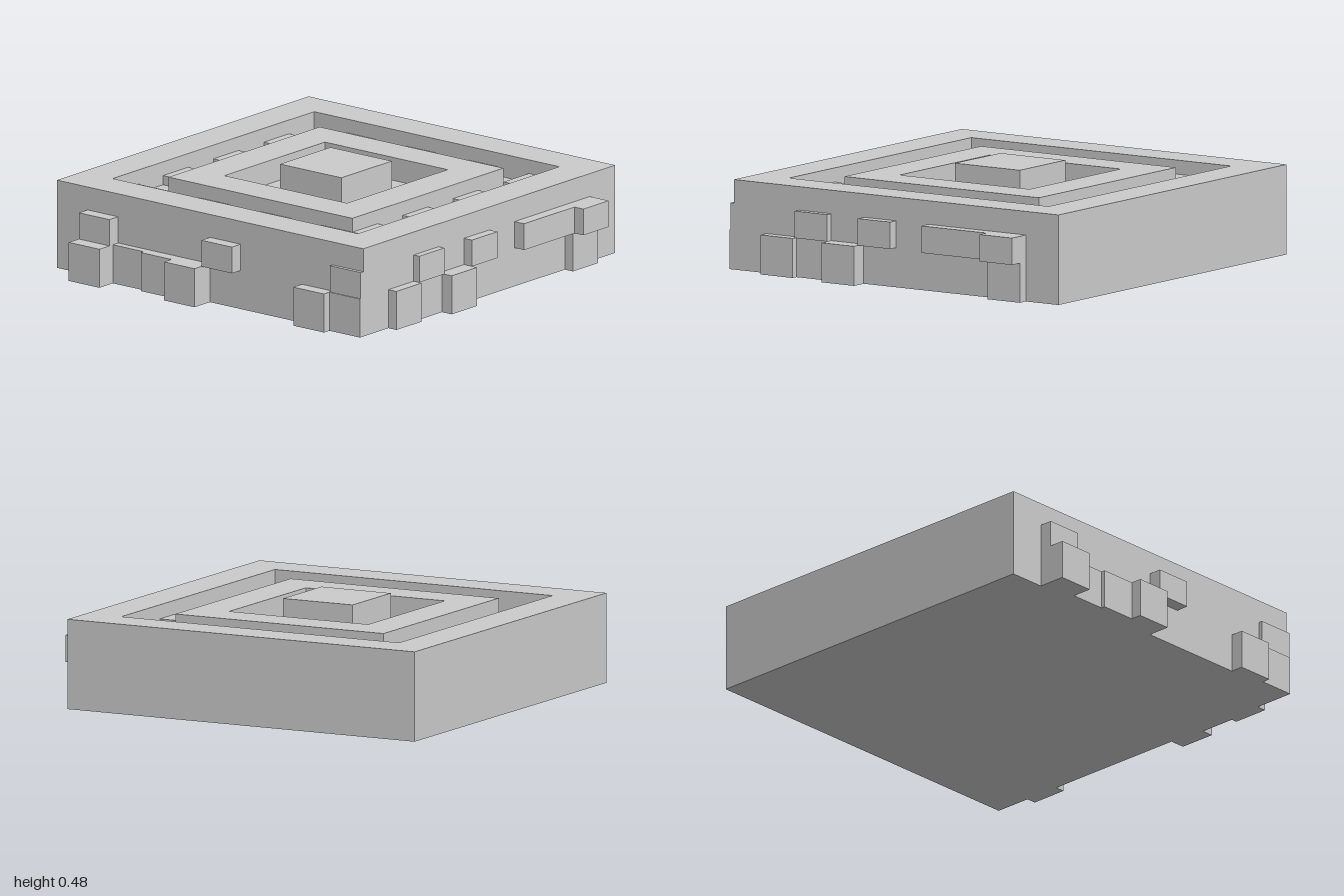
import * as THREE from 'three';

const CELL = 0.1862;                 // plan module
const CX = -0.06, CZ = -0.07;        // centre of the main slab
const FLOOR = 0.316, TOP = 0.428;    // recess floor and rim top
const COURSE = 0.188;                // top of the lower row of side blocks
const material = new THREE.MeshStandardMaterial({ color: 0xcccccc, flatShading: true });

export function createModel() {
  const group = new THREE.Group();

  const add = (name, geometry) => {
    const mesh = new THREE.Mesh(geometry, material);
    mesh.name = name;
    group.add(mesh);
    return mesh;
  };
  // Box given by its minimum and maximum corners
  const box = (name, x0, x1, y0, y1, z0, z1) =>
    add(name, new THREE.BoxGeometry(x1 - x0, y1 - y0, z1 - z0))
      .position.set((x0 + x1) / 2, (y0 + y1) / 2, (z0 + z1) / 2);
  const square = (Type, h) => new Type([[-h, -h], [h, -h], [h, h], [-h, h]].map(p => new THREE.Vector2(...p)));
  // Square frame standing on the recess floor, sizes in cells from the centre
  const frame = (name, outer, inner) => {
    const shape = square(THREE.Shape, outer * CELL);
    shape.holes.push(square(THREE.Path, inner * CELL));
    const geometry = new THREE.ExtrudeGeometry(shape, { depth: TOP - FLOOR, bevelEnabled: false });
    geometry.rotateX(-Math.PI / 2);
    add(name, geometry).position.set(CX, FLOOR, CZ);
  };

  // Slab with two raised frames and a central block
  const half = 5 * CELL;
  box('slab', CX - half, CX + half, 0, FLOOR, CZ - half, CZ + half);
  frame('outerRim', 5, 4);
  frame('innerFrame', 3, 2);
  box('centreBlock', CX - CELL, CX + CELL, FLOOR, 0.477, CZ - CELL, CZ + CELL);

  // Alternate raised cells around the channel
  for (let i = 0; i < 8; i++) {
    for (let j = 0; j < 8; j++) {
      const inRing = i === 0 || i === 7 || j === 0 || j === 7;
      if (!inRing || (i + j) % 2 === 0) continue;
      const x = CX + (i - 4) * CELL, z = CZ + (j - 4) * CELL;
      box('channelBlock', x, x + CELL, FLOOR, FLOOR + 0.045, z, z + CELL);
    }
  }

  // Projecting side blocks: [first cell, cell count, upper row?, outer reach]
  const frontBlocks = [
    [1, 1, false, 1.0], [2, 1, false, 0.9], [3, 1, false, 0.92], [4, 1, false, 0.975],
    [8, 1, false, 0.925], [9, 1, false, 0.885],
    [1, 1, true, 0.925], [5, 1, true, 0.925], [9, 1, true, 0.88],
  ];
  const leftBlocks = [
    [1, 1, false, 0.92], [6, 1, false, 0.95], [7, 1, false, 0.89], [8, 1, false, 0.92],
    [1, 1, true, 0.985], [2, 2, true, 0.93], [5, 1, true, 0.92], [7, 1, true, 0.905],
  ];
  const rows = upper => (upper ? [COURSE, FLOOR] : [0, COURSE]);
  for (const [start, count, upper, reach] of frontBlocks) {
    const x = CX - half + start * CELL;
    box('frontBlock', x, x + count * CELL, ...rows(upper), CZ + half, reach);
  }
  for (const [start, count, upper, reach] of leftBlocks) {
    const z = CZ - half + start * CELL;
    box('leftBlock', CX + half, reach, ...rows(upper), z, z + count * CELL);
  }

  return group;
}
